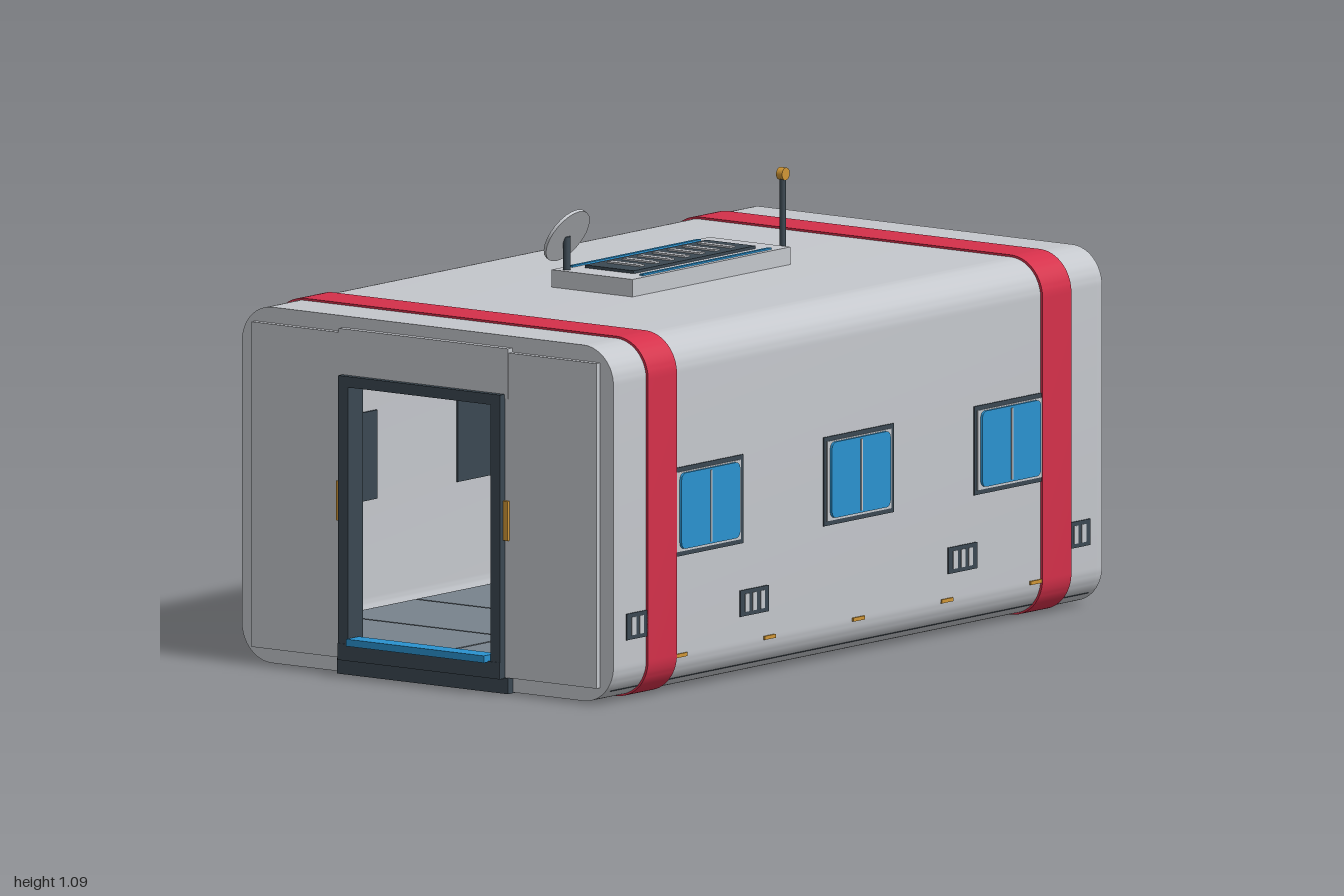
import * as THREE from 'three';
import { toCreasedNormals } from 'three/addons/utils/BufferGeometryUtils.js';

const mat = (name, color) => {
  const m = new THREE.MeshStandardMaterial({ color });
  m.name = name;
  return m;
};

export function createModel() {
  const M = {
    shell: mat('shell grey', 0xc4c7cc),
    dark: mat('dark slate', 0x3b4852),
    red: mat('band red', 0xd4304a),
    blue: mat('glass blue', 0x2a92cf),
    amber: mat('amber', 0xcf9636),
    floor: mat('floor grey', 0x78838d),
  };
  const model = new THREE.Group();
  model.name = 'habitatModule';

  const add = (name, geo, material, parent = model) => {
    const mesh = new THREE.Mesh(geo, material);
    mesh.name = name;
    parent.add(mesh);
    return mesh;
  };
  // Box given by its minimum and maximum on each axis
  const box = (name, m, x0, x1, y0, y1, z0, z1, parent) => {
    const b = add(name, new THREE.BoxGeometry(x1 - x0, y1 - y0, z1 - z0), m, parent);
    b.position.set((x0 + x1) / 2, (y0 + y1) / 2, (z0 + z1) / 2);
    return b;
  };
  const roundRect = (P, x0, x1, y0, y1, r) => {
    const s = new P();
    s.moveTo(x0 + r, y0);
    s.lineTo(x1 - r, y0);
    s.absarc(x1 - r, y0 + r, r, -Math.PI / 2, 0);
    s.lineTo(x1, y1 - r);
    s.absarc(x1 - r, y1 - r, r, 0, Math.PI / 2);
    s.lineTo(x0 + r, y1);
    s.absarc(x0 + r, y1 - r, r, Math.PI / 2, Math.PI);
    s.lineTo(x0, y0 + r);
    s.absarc(x0 + r, y0 + r, r, Math.PI, Math.PI * 1.5);
    return s;
  };
  const extrude = (shape, depth, seg = 10) => toCreasedNormals(
    new THREE.ExtrudeGeometry(shape, { depth, bevelEnabled: false, curveSegments: seg }), 0.6);
  // Rounded section in the z-y plane, extruded along x
  const section = (name, m, x0, x1, half, y0, y1, r, hole) => {
    const s = roundRect(THREE.Shape, -half, half, y0, y1, r);
    s.holes.push(hole);
    const geo = extrude(s, x1 - x0);
    geo.rotateY(Math.PI / 2);
    geo.translate(x0, 0, 0);
    return add(name, geo, m);
  };

  // Hull tube, end walls with doorways, red bands
  section('hull', M.shell, -0.93, 0.93, 0.555, 0.004, 0.858, 0.09,
    roundRect(THREE.Path, -0.54, 0.54, 0.019, 0.843, 0.075));
  for (const s of [-1, 1]) {
    const e = s * 0.94;
    section('endWall', M.shell, e - 0.01, e + 0.01, 0.555, 0.004, 0.858, 0.09,
      roundRect(THREE.Path, -0.215, 0.215, 0.07, 0.695, 0.001));
    const b = s * 0.767;
    section('redBand', M.red, b - 0.056, b + 0.056, 0.561, 0, 0.863, 0.095,
      roundRect(THREE.Path, -0.55, 0.55, 0.01, 0.852, 0.085));
  }

  // Interior floor in panels with dark joints
  box('subfloor', M.dark, -0.93, 0.93, 0.03, 0.066, -0.53, 0.53);
  for (let i = 0; i < 6; i++) {
    const x = -0.93 + i * 0.31;
    for (const z of [-0.265, 0.265])
      box('floorPanel', M.floor, x + 0.003, x + 0.307, 0.064, 0.07, z - 0.262, z + 0.262);
  }

  // Door ends, built for +x and turned round for -x
  for (const turn of [0, Math.PI]) {
    const end = new THREE.Group();
    end.name = 'doorEnd';
    end.rotation.y = turn;
    model.add(end);
    for (const s of [-1, 1]) {
      const side = (name, m, x0, x1, y0, y1, a, b) =>
        box(name, m, x0, x1, y0, y1, Math.min(s * a, s * b), Math.max(s * a, s * b), end);
      side('endPanel', M.shell, 0.945, 0.965, 0.04, 0.82, 0.24, 0.515);
      side('doorJamb', M.dark, 0.925, 0.983, 0.07, 0.72, 0.213, 0.242);
      side('doorLight', M.amber, 0.96, 0.973, 0.37, 0.465, 0.242, 0.256);
    }
    box('lintelPanel', M.shell, 0.945, 0.967, 0.71, 0.83, -0.253, 0.253, end);
    box('doorHead', M.dark, 0.925, 0.983, 0.694, 0.72, -0.242, 0.242, end);
    box('doorSill', M.dark, 0.925, 0.985, 0.038, 0.078, -0.242, 0.242, end);
    box('sillBase', M.dark, 0.935, 0.97, 0.002, 0.04, -0.255, 0.255, end);
    box('doorStep', M.blue, 0.95, 1.0, 0.076, 0.093, -0.206, 0.206, end);
  }

  // Long sides: windows, vents and marker lights
  for (const turn of [0, Math.PI]) {
    const side = new THREE.Group();
    side.name = 'longSide';
    side.rotation.y = turn;
    model.add(side);
    for (const x of [-0.585, 0, 0.585]) {
      box('windowFrame', M.dark, x - 0.136, x + 0.136, 0.328, 0.541, 0.535, 0.558, side);
      box('windowTrim', M.shell, x - 0.125, x + 0.125, 0.339, 0.53, 0.55, 0.56, side);
      const glass = add('windowGlass',
        extrude(roundRect(THREE.Shape, -0.114, 0.114, 0.345, 0.527, 0.016), 0.007, 5), M.blue, side);
      glass.position.set(x, 0, 0.559);
      box('windowMullion', M.shell, x - 0.003, x + 0.003, 0.35, 0.522, 0.56, 0.568, side);
    }
    for (const x of [-0.845, -0.405, 0.405, 0.845]) {
      box('vent', M.dark, x - 0.056, x + 0.056, 0.152, 0.215, 0.545, 0.558, side);
      for (const dx of [-0.03, 0, 0.03])
        box('ventSlot', M.shell, x + dx - 0.008, x + dx + 0.008, 0.162, 0.205, 0.55, 0.5595, side);
    }
    for (const x of [-0.69, -0.345, 0, 0.345, 0.69])
      box('markerLight', M.amber, x - 0.022, x + 0.022, 0.085, 0.094, 0.545, 0.559, side);
  }

  // Underside pads
  for (const x of [-0.63, 0, 0.63])
    box('undersidePad', M.dark, x - 0.1, x + 0.1, 0, 0.008, -0.2, 0.2);

  // Roof unit with grille and light strips
  box('roofUnit', M.shell, -0.31, 0.305, 0.85, 0.9, -0.122, 0.12);
  box('roofGrille', M.dark, -0.24, 0.233, 0.895, 0.907, -0.076, 0.07);
  for (let i = 0; i < 7; i++) {
    const x = -0.175 + i * 0.0585;
    box('grilleSlat', M.shell, x - 0.01, x + 0.01, 0.9, 0.911, -0.052, 0.045);
  }
  for (const z of [-0.108, 0.102])
    box('roofStrip', M.blue, -0.253, 0.247, 0.896, 0.904, z - 0.005, z + 0.005);

  // Antenna mast with amber tip
  const cyl = (name, m, r, h, x, y, z, parent) => {
    const c = add(name, new THREE.CylinderGeometry(r, r, h, 24), m, parent);
    c.position.set(x, y, z);
    return c;
  };
  cyl('antennaMast', M.dark, 0.008, 0.21, 0.318, 0.955, 0.087);
  cyl('antennaTip', M.amber, 0.015, 0.018, 0.318, 1.071, 0.087).rotation.x = Math.PI / 2;

  // Dish tilted up towards the back
  cyl('dishPost', M.dark, 0.009, 0.085, -0.287, 0.937, -0.094);
  const dish = new THREE.Group();
  dish.name = 'dish';
  dish.position.set(-0.287, 0.982, -0.094);
  dish.rotation.x = -1.06;
  model.add(dish);
  cyl('dishPlate', M.shell, 0.072, 0.008, 0, 0, 0, dish);
  cyl('dishHub', M.dark, 0.011, 0.008, 0, 0.004, 0, dish);

  return model;
}
